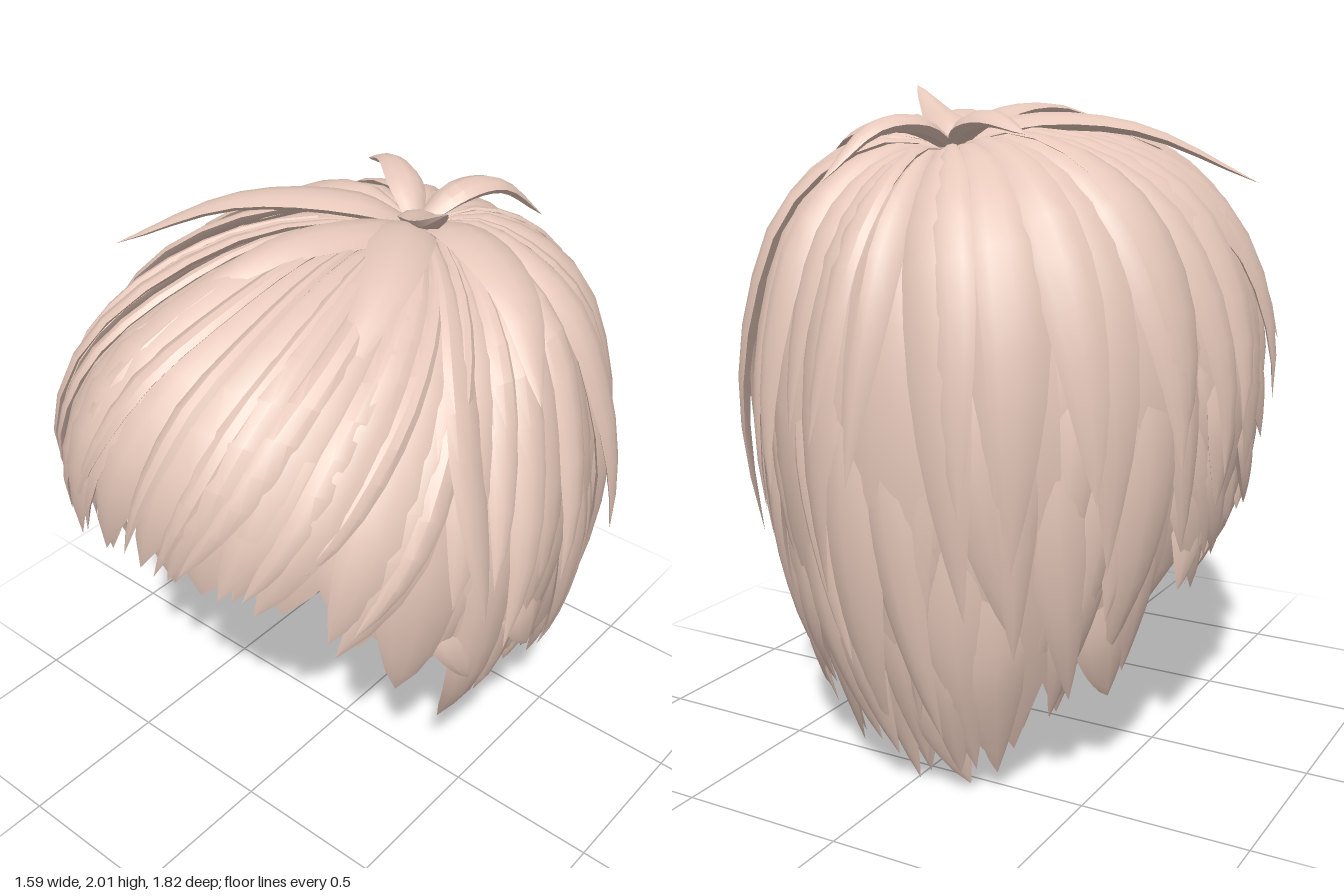
import * as THREE from 'three';
import { toCreasedNormals } from 'three/addons/utils/BufferGeometryUtils.js';

const V = (x, y, z) => new THREE.Vector3(x, y, z);
const curve = (pts) => new THREE.CatmullRomCurve3(pts.map((p) => V(...p)));
const DEG = Math.PI / 180;

// Three meridians of the hair volume, each running from the crown to the hem
const FRONT = curve([[0, 1.80, -0.25], [0, 1.87, -0.02], [0, 1.90, 0.25], [0, 1.84, 0.52], [0, 1.72, 0.75],
  [0, 1.52, 0.88], [0, 1.3, 0.91], [0, 1.1, 0.88], [0, 0.9, 0.8]]);
const SIDE = curve([[0, 1.80, -0.26], [0.2, 1.86, -0.2], [0.42, 1.80, -0.12], [0.59, 1.67, -0.06], [0.71, 1.45, -0.02],
  [0.77, 1.2, 0], [0.76, 0.95, 0], [0.70, 0.65, 0], [0.58, 0.38, -0.05]]);
const BACK = curve([[0, 1.80, -0.27], [0, 1.81, -0.45], [0, 1.74, -0.62], [0, 1.59, -0.77], [0, 1.35, -0.86],
  [0, 1.05, -0.89], [0, 0.75, -0.86], [0, 0.38, -0.77], [0, -0.05, -0.59]]);
// Hem level every 15 degrees, from the face round to the nape
const HEM = [6.5, 6.4, 6.25, 6.35, 6.85, 7.1, 6.9, 7.65, 8, 8, 8, 8, 8];

// Point on the hair volume: angle phi (0 = front, 90 = left), level s (0 = crown, 8 = nape)
function envelope(phi, s) {
  const u = THREE.MathUtils.clamp(s / 8, 0, 1);
  const c = Math.cos(phi * DEG), n = Math.sin(phi * DEG);
  const side = SIDE.getPoint(u), end = (c > 0 ? FRONT : BACK).getPoint(u);
  return V(
    side.x * n + 0.05 * Math.max(0, 1 - s / 4),
    side.y * n * n + end.y * c * c,
    side.z + (end.z - side.z) * Math.abs(c));
}

const wrap = (phi) => Math.abs(((phi + 540) % 360) - 180);
function hem(phi) {
  const a = wrap(phi) / 15, i = Math.min(11, Math.floor(a));
  return THREE.MathUtils.lerp(HEM[i], HEM[i + 1], a - i);
}

let seed = 7;
const rand = (a = 0, b = 1) => {
  seed = (seed * 16807) % 2147483647;
  return a + (b - a) * (seed / 2147483647);
};

// Cross-section of a lock: [across, height], arched top then flatter underside
const SECTION = [[-1, 0], [-0.6, 0.7], [0, 1], [0.6, 0.7], [1, 0], [0.6, -0.8], [0, -0.9], [-0.6, -0.8]];
const ROWS = 13;

// Skin a lock with a blunt closed root; place(t, across, height) returns a point
function sweep(place) {
  const pos = [], index = [], m = SECTION.length;
  for (let i = 0; i <= ROWS; i++) {
    const open = i ? 1 : 0, t = Math.max(0, i - 1) / (ROWS - 1);
    for (const [v, h] of SECTION) pos.push(...place(t, v * open, h * open).toArray());
    if (i === ROWS) break;
    for (let j = 0; j < m; j++) {
      const a = i * m + j, b = i * m + ((j + 1) % m);
      index.push(a, a + m, b + m, a, b + m, b);
    }
  }
  const g = new THREE.BufferGeometry();
  g.setAttribute('position', new THREE.Float32BufferAttribute(pos, 3));
  g.setIndex(index);
  return toCreasedNormals(g, 0.5);
}

// Leaf outline: full body, then a pointed tip
const leaf = (t, body) =>
  t < body ? 1 : Math.pow(Math.max(0, 1 - ((t - body) / (1 - body)) ** 1.5), 0.85);

// Lock lying on the hair volume; sink buries its root
function surfaceLock({ phi, from, to, half, bend = 0, offset = 0, sink = 0, thick = 0.025, tilt = 0, flick = 0, body = 0.5 }) {
  return sweep((t, v, h) => {
    const s = from + (to - from) * t, w = leaf(t, body);
    const p = envelope(phi + bend * t * t + v * half * w, s);
    const out = p.clone().sub(V(0, 1.1 - 0.25 * t, -0.1)).normalize();
    const grow = Math.min(1, 0.2 + s / 4);
    return p.addScaledVector(out, (offset + (h * thick + v * tilt) * w) * grow + flick * t ** 4 - sink * (1 - t) ** 2);
  });
}

// Loose lock following its own arc above the crown
function looseLock(points, half, thick) {
  const path = curve(points);
  return sweep((t, v, h) => {
    const p = path.getPoint(t), T = path.getTangent(t);
    const up = p.clone().sub(V(0, 1.0, -0.1)).normalize();
    const side = up.clone().cross(T).normalize(), N = T.clone().cross(side);
    const w = leaf(t, 0.4) * Math.min(1, 0.4 + t * 2);
    return p.addScaledVector(side, v * half * w).addScaledVector(N, h * thick * w);
  });
}

export function createModel() {
  const model = new THREE.Group();
  model.name = 'hair';
  const material = new THREE.MeshStandardMaterial({ color: 0xe6c8ba });
  const layer = (name) => {
    const g = new THREE.Group();
    g.name = name;
    model.add(g);
    return (geometry, part) => {
      const mesh = new THREE.Mesh(geometry, material);
      mesh.name = part;
      g.add(mesh);
    };
  };

  // Wide overlapping locks that close the volume from beneath, full down to the hem
  const addUnder = layer('underLayer');
  for (let i = 0; i < 26; i++) {
    const phi = (i * 360) / 26 + 4, front = wrap(phi) < 50;
    addUnder(surfaceLock({
      phi, from: 0.3, to: hem(phi) - rand(0, 0.1), half: 11, bend: rand(-4, 4),
      offset: -0.075 + (i % 2) * 0.025, tilt: 0.012, thick: 0.022, body: front ? 0.78 : 0.88,
    }), 'underLock');
  }

  // Staggered tiers down the sides, back and nape, their blunt roots showing inside
  const addTier = layer('lowerTiers');
  [[3.2, 0.9, 18], [4.6, 0.35, 20], [5.6, 0.1, 20], [6.4, 0, 18]].forEach(([from, short, count]) => {
    for (let i = 0; i < count; i++) {
      const phi = 66 + (228 * (i + rand(0.2, 0.8))) / count;
      addTier(surfaceLock({
        phi, from: Math.min(from + rand(-0.4, 0.4), hem(phi) - 1.3), to: hem(phi) - short - rand(0, 0.25),
        half: rand(5.5, 9), bend: rand(-10, 10), offset: rand(-0.06, -0.015), sink: rand(0.05, 0.12),
        thick: 0.03, tilt: rand(-0.02, 0.02), flick: rand(-0.01, 0.03), body: 0.45,
      }), 'tierLock');
    }
  });

  // Long locks radiating from the crown, the fringe swept to one side
  const addTop = layer('crownLayer');
  for (let i = 0; i < 46; i++) {
    const phi = (i * 360) / 46 + rand(-2, 2), fringe = wrap(phi) < 58;
    const side = wrap(phi) < 125;
    addTop(surfaceLock({
      phi: fringe ? phi + 12 : phi, from: 0.1,
      to: fringe ? hem(phi) - rand(0, 0.2) : hem(phi) * (side ? rand(0.72, 0.9) : rand(0.62, 0.86)),
      half: rand(5, 8), bend: fringe ? rand(-25, -15) : rand(-10, 10),
      offset: -0.016 + (i % 3) * 0.012, tilt: rand(0.01, 0.022) * (i % 4 ? 1 : -1),
      flick: fringe ? rand(-0.03, 0.01) : rand(0, side ? 0.045 : 0.025), body: fringe ? 0.7 : 0.5,
    }), fringe ? 'fringeLock' : 'crownLock');
  }

  // Narrow locks over the fringe and the pointed sideburns
  const addAccent = layer('accentLocks');
  for (let i = 0; i < 11; i++) {
    const phi = -50 + i * 10.5;
    addAccent(surfaceLock({
      phi: phi + 12, from: 1.2, to: hem(phi) - rand(0.1, 0.7), half: rand(3, 4.5), bend: rand(-24, -15),
      offset: 0.005, tilt: 0.012, body: 0.6, flick: -0.01,
    }), 'fringeStrand');
  }
  for (const side of [1, -1]) {
    for (const [phi, to, half] of [[76, 8, 7], [60, 7, 9], [91, 6.95, 9], [83, 7.4, 5]]) {
      addAccent(surfaceLock({
        phi: phi * side, from: 3, to, half, bend: -3 * side, offset: -0.045, thick: 0.03, body: 0.65,
      }), 'sideburnLock');
    }
  }

  // Loose tufts springing from the crown
  const addTuft = layer('crownTufts');
  const root = [0.05, 1.81, -0.26];
  [
    [[0.16, 1.89, -0.06], [0.31, 1.88, 0.22], [0.37, 1.68, 0.6], 0.09],
    [[0.28, 1.88, -0.18], [0.54, 1.82, -0.06], [0.72, 1.62, 0.07], 0.1],
    [[0.09, 1.88, -0.4], [0.14, 1.87, -0.54], [0.2, 1.73, -0.71], 0.06],
    [[0.1, 1.87, -0.2], [0.2, 1.92, -0.12], [0.31, 2.0, -0.05], 0.06],
    [[-0.08, 1.88, -0.15], [-0.38, 1.87, 0.04], [-0.7, 1.71, 0.25], 0.09],
    [[-0.05, 1.88, -0.34], [-0.17, 1.9, -0.42], [-0.3, 1.86, -0.47], 0.06],
    [[0.08, 1.89, -0.02], [0.0, 1.92, 0.28], [-0.16, 1.79, 0.66], 0.08],
  ].forEach(([a, b, tip, half]) => addTuft(looseLock([root, a, b, tip], half, 0.028), 'tuft'));

  // Small whorl where all locks meet
  const whorl = new THREE.SphereGeometry(0.06, 12, 8);
  whorl.scale(1, 0.6, 1).translate(0.05, 1.82, -0.25);
  addTuft(whorl, 'whorl');
  return model;
}
